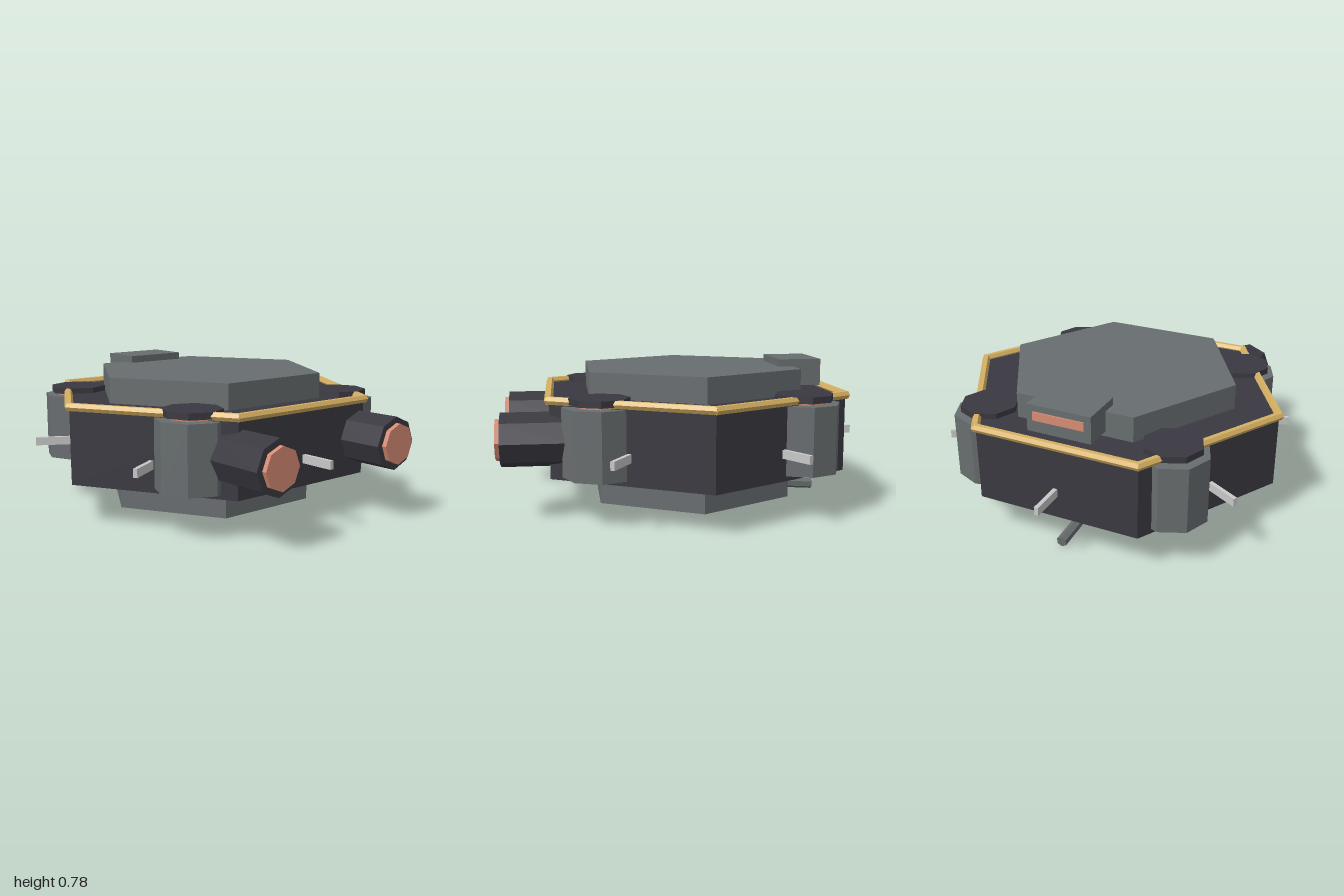
import * as THREE from 'three';

const CZ = -0.04; // centre of the hexagonal hull along z

export function createModel() {
  const model = new THREE.Group();
  const mat = (name, color) => {
    const m = new THREE.MeshStandardMaterial({ color, flatShading: true });
    m.name = name;
    return m;
  };
  const dark = mat('darkHull', 0x3a3941);
  const grey = mat('plateGrey', 0x686d6f);
  const gold = mat('goldTrim', 0xd6b062);
  const salmon = mat('glowSalmon', 0xd68c74);
  const silver = mat('silver', 0xc8c8c8);

  const add = (name, geometry, material, x, y, z, parent = model) => {
    const mesh = new THREE.Mesh(geometry, material);
    mesh.name = name;
    mesh.position.set(x, y, z);
    parent.add(mesh);
    return mesh;
  };
  // Upright prism between two heights
  const prism = (name, material, r, sides, y0, y1, x, z, start = 0) =>
    add(name, new THREE.CylinderGeometry(r, r, y1 - y0, sides, 1, false, start), material, x, (y0 + y1) / 2, z);

  // Stacked hexagonal hull, corners pointing sideways
  prism('hull', dark, 0.89, 6, 0.21, 0.605, 0, CZ, Math.PI / 2);
  prism('upperDeck', grey, 0.65, 6, 0.6, 0.74, 0, CZ, Math.PI / 2);
  prism('lowerDeck', grey, 0.592, 6, 0.035, 0.215, 0, CZ, Math.PI / 2);

  // One gold rail and one silver spike for each side
  for (let i = 0; i < 6; i++) {
    const side = new THREE.Group();
    side.name = 'hullSide';
    side.position.z = CZ;
    side.rotation.y = (i * Math.PI) / 3;
    model.add(side);
    const rail = add('rail', new THREE.CylinderGeometry(0.0225, 0.0225, 0.91, 6), gold, 0, 0.613, 0.772, side);
    rail.rotation.z = Math.PI / 2;
    add('spike', new THREE.BoxGeometry(0.022, 0.044, 0.22), silver, 0, 0.352, 0.848, side);
  }

  // Octagonal towers with glowing necks and dark caps
  for (const x of [-0.52, 0.52]) {
    for (const z of [0.48, -0.565]) {
      prism('tower', grey, 0.19, 8, 0.235, 0.588, x, z);
      prism('towerNeck', salmon, 0.12, 8, 0.585, 0.603, x, z);
      prism('towerCap', dark, 0.154, 8, 0.6, 0.634, x, z);
    }
  }

  // Front thrusters
  for (const x of [-0.415, 0.415]) {
    const barrel = add('thruster', new THREE.CylinderGeometry(0.14, 0.14, 0.335, 8), dark, x, 0.413, 0.808);
    barrel.rotation.x = Math.PI / 2;
    const glow = add('thrusterGlow', new THREE.CylinderGeometry(0.107, 0.107, 0.03, 8), salmon, x, 0.413, 0.985);
    glow.rotation.x = Math.PI / 2;
  }

  // Lookout box with a window at the back
  add('lookout', new THREE.BoxGeometry(0.352, 0.145, 0.236), grey, 0, 0.707, -0.638);
  add('lookoutWindow', new THREE.BoxGeometry(0.28, 0.046, 0.009), salmon, 0, 0.722, -0.759);

  // Sloping boom beneath the hull
  const a = new THREE.Vector3(0, 0.058, -0.39);
  const b = new THREE.Vector3(0, 0.031, -0.772);
  const boom = add('boom', new THREE.CylinderGeometry(0.029, 0.029, a.distanceTo(b), 6), grey, 0, 0, 0);
  boom.position.copy(a).lerp(b, 0.5);
  boom.quaternion.setFromUnitVectors(new THREE.Vector3(0, 1, 0), b.clone().sub(a).normalize());

  return model;
}
